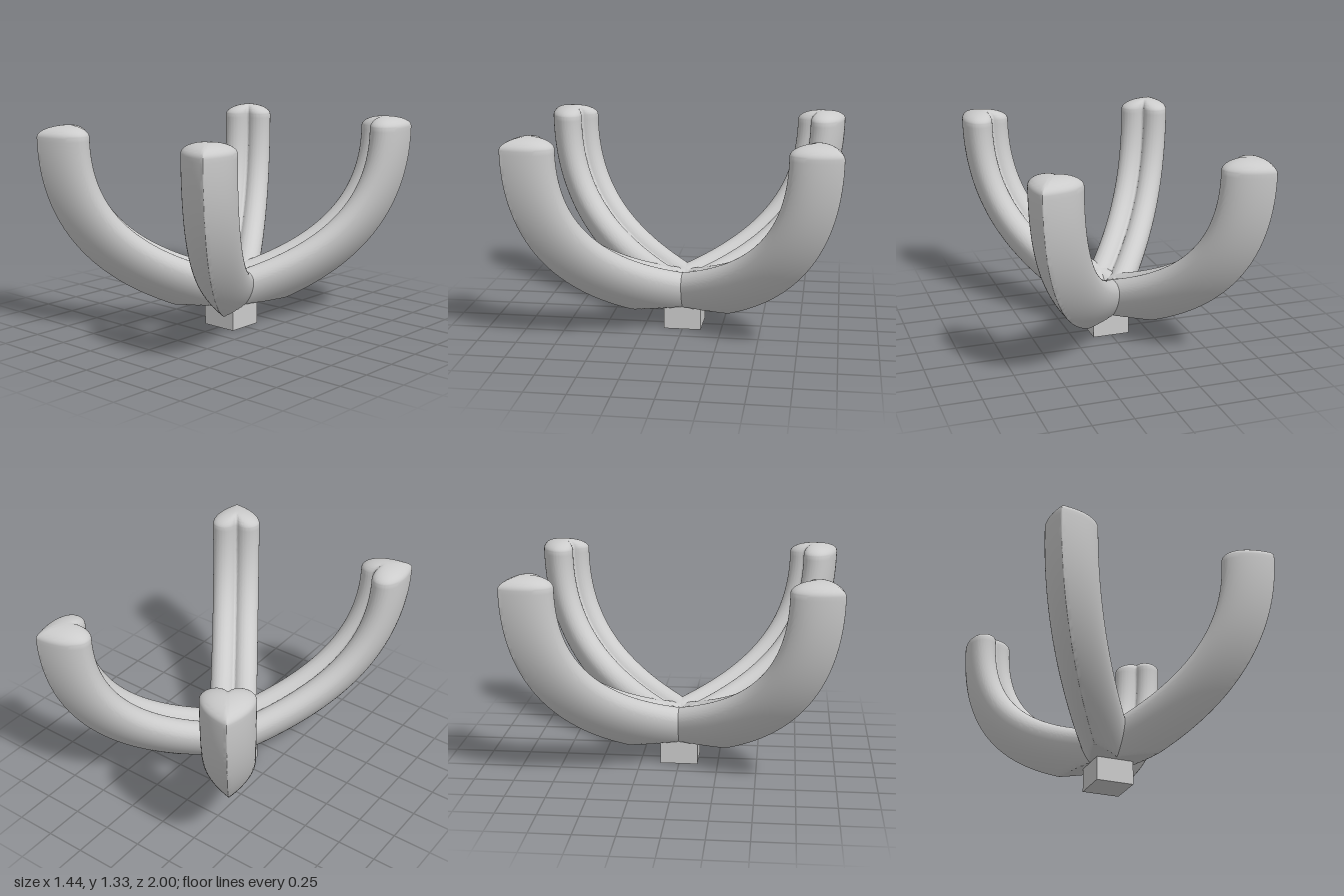
import * as THREE from 'three';
import { toCreasedNormals } from 'three/addons/utils/BufferGeometryUtils.js';

const BASE_Y = 0.15; // the arms are cut flat at this height
const CAP = 0.07; // height of the domed tip

// Heart outline: x = sideways, y = outward (point at +y, notch at -y),
// with the notch and the point slightly rounded
function heartOutline() {
  const half = new THREE.Path();
  half.moveTo(0, -0.105);
  half.quadraticCurveTo(0.006, -0.105, 0.012, -0.112);
  half.absarc(0.078, -0.066, 0.08, -Math.PI + 0.6, 0, false);
  half.bezierCurveTo(0.158, 0.025, 0.075, 0.11, 0.008, 0.16);
  half.quadraticCurveTo(0.003, 0.165, 0, 0.165);
  const right = half.getPoints(14).filter((p, i, all) => i === 0 || p.distanceTo(all[i - 1]) > 1e-5);
  const left = right.slice(1, -1).reverse().map((p) => new THREE.Vector2(-p.x, p.y));
  return [...right, ...left];
}

// One arm, swept in its own x-y plane and closed by a dome
function armGeometry() {
  const outline = heartOutline();
  const n = outline.length;
  const path = new THREE.CubicBezierCurve(
    new THREE.Vector2(0, 0.208), new THREE.Vector2(0.5, 0.335),
    new THREE.Vector2(1.05, 0.58), new THREE.Vector2(1.05, 1.26));
  const pos = [];
  const index = [];

  // Sweep, trimmed at the model's axis and at the flat underside
  const steps = 90;
  for (let i = 0; i <= steps; i++) {
    const c = path.getPoint(i / steps);
    const t = path.getTangent(i / steps);
    for (const p of outline) {
      pos.push(Math.max(0, c.x + t.y * p.y), Math.max(BASE_Y, c.y - t.x * p.y), p.x);
    }
  }

  // Dome: shrinking copies of the end outline
  const domeSteps = 14;
  const mid = -0.02;
  for (let k = 1; k <= domeSteps; k++) {
    const a = (k / domeSteps) * Math.PI / 2;
    const s = k === domeSteps ? 0 : Math.cos(a);
    for (const p of outline) {
      pos.push(1.05 + mid + (p.y - mid) * s, 1.26 + CAP * Math.sin(a), p.x * s);
    }
  }

  const rings = steps + domeSteps;
  for (let i = 0; i < rings; i++) {
    for (let j = 0; j < n; j++) {
      const a = i * n + j;
      const b = i * n + (j + 1) % n;
      index.push(a, b, b + n);
      if (i < rings - 1) index.push(a, b + n, a + n);
    }
  }
  const g = new THREE.BufferGeometry();
  g.setAttribute('position', new THREE.Float32BufferAttribute(pos, 3));
  g.setIndex(index);
  return toCreasedNormals(g, 0.6);
}

export function createModel() {
  const group = new THREE.Group();
  const material = new THREE.MeshStandardMaterial({ color: 0xcccccc });

  // Four curved arms crossing in an X
  const geometry = armGeometry();
  const spread = Math.atan2(0.823, 0.568);
  const arms = {
    frontLeftArm: -spread,
    backLeftArm: spread,
    frontRightArm: Math.PI + spread,
    backRightArm: Math.PI - spread,
  };
  for (const [name, angle] of Object.entries(arms)) {
    const arm = new THREE.Mesh(geometry, material);
    arm.name = name;
    arm.rotation.y = angle;
    group.add(arm);
  }

  // Square mounting stub under the crossing
  const stub = new THREE.Mesh(new THREE.BoxGeometry(0.24, 0.16, 0.24), material);
  stub.name = 'baseStub';
  stub.position.y = 0.08;
  group.add(stub);

  return group;
}
